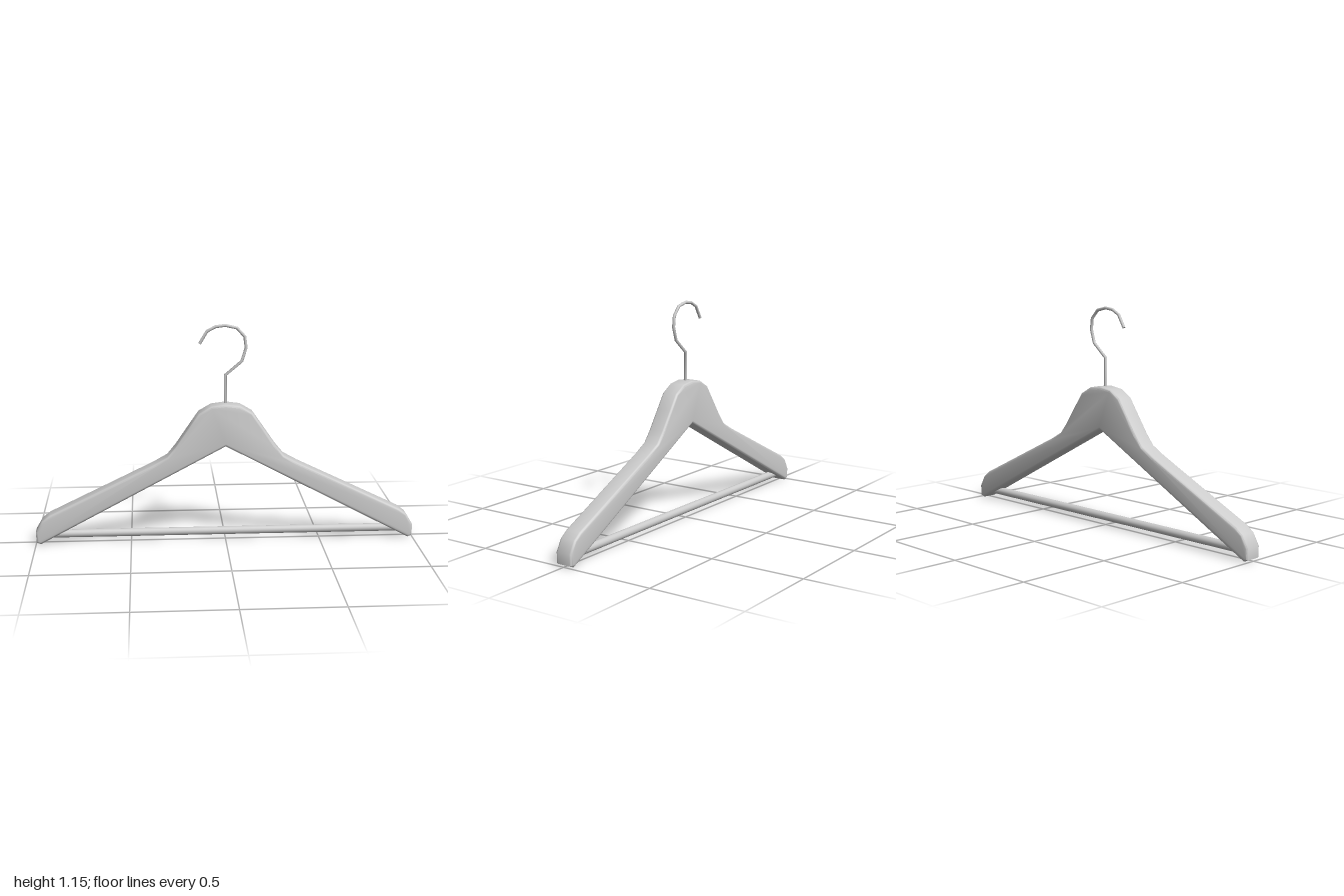
import * as THREE from 'three';
import { toCreasedNormals } from 'three/addons/utils/BufferGeometryUtils.js';

const material = new THREE.MeshStandardMaterial({ color: 0xcccccc });

// Straight-sided path with mitred corners: one tube ring per point
class BentWire extends THREE.Curve {
  constructor(points) {
    super();
    this.points = points.map(([x, y]) => new THREE.Vector3(x, y, 0));
  }
  getPointAt(u, target = new THREE.Vector3()) {
    return target.copy(this.points[Math.round(u * (this.points.length - 1))]);
  }
  getTangentAt(u, target = new THREE.Vector3()) {
    const p = this.points, i = Math.round(u * (p.length - 1));
    target.set(0, 0, 0);
    if (i > 0) target.add(p[i].clone().sub(p[i - 1]).normalize());
    if (i < p.length - 1) target.add(p[i + 1].clone().sub(p[i]).normalize());
    return target.normalize();
  }
}

function add(group, name, geometry) {
  const mesh = new THREE.Mesh(geometry, material);
  mesh.name = name;
  group.add(mesh);
  return mesh;
}

export function createModel() {
  const group = new THREE.Group();
  group.name = 'coatHanger';

  // Body: mirrored outline, extruded with softened edges
  const half = [
    [0.075, 0.733], [0.14, 0.695], [0.195, 0.615], [0.26, 0.52], [0.305, 0.465],
    [0.38, 0.423], [0.925, 0.16], [0.965, 0.13], [1, 0.07], [0.998, 0.012], [0.975, 0.002],
  ];
  const mirrored = half.map(([x, y]) => [-x, y]).reverse();
  const outline = [[0, 0.743], ...half, [0, 0.518], ...mirrored];
  const bevel = 0.012, depth = 0.094;
  const body = new THREE.ExtrudeGeometry(
    new THREE.Shape(outline.map(([x, y]) => new THREE.Vector2(x, y))),
    {
      depth: depth - 2 * bevel, bevelThickness: bevel, bevelSize: bevel,
      bevelOffset: -bevel, bevelSegments: 3,
    },
  );
  body.translate(0, 0, bevel - depth / 2);
  add(group, 'body', toCreasedNormals(body, 0.75));

  // Trouser bar between the arm tips
  const bar = new THREE.CylinderGeometry(0.021, 0.021, 1.89, 16);
  bar.rotateZ(Math.PI / 2);
  add(group, 'trouserBar', bar).position.y = 0.047;

  // Wire hook with a flat end
  const wire = new BentWire([
    [0, 0.7], [0, 0.89], [0.085, 0.962], [0.107, 1.032], [0.1, 1.09], [0.06, 1.135],
    [0, 1.149], [-0.05, 1.143], [-0.095, 1.119], [-0.133, 1.055],
  ]);
  const radius = 0.008;
  add(group, 'hook', new THREE.TubeGeometry(wire, wire.points.length - 1, radius, 8));
  const tip = add(group, 'hookEnd', new THREE.CircleGeometry(radius, 8));
  tip.position.copy(wire.getPointAt(1));
  tip.quaternion.setFromUnitVectors(new THREE.Vector3(0, 0, 1), wire.getTangentAt(1));

  return group;
}
